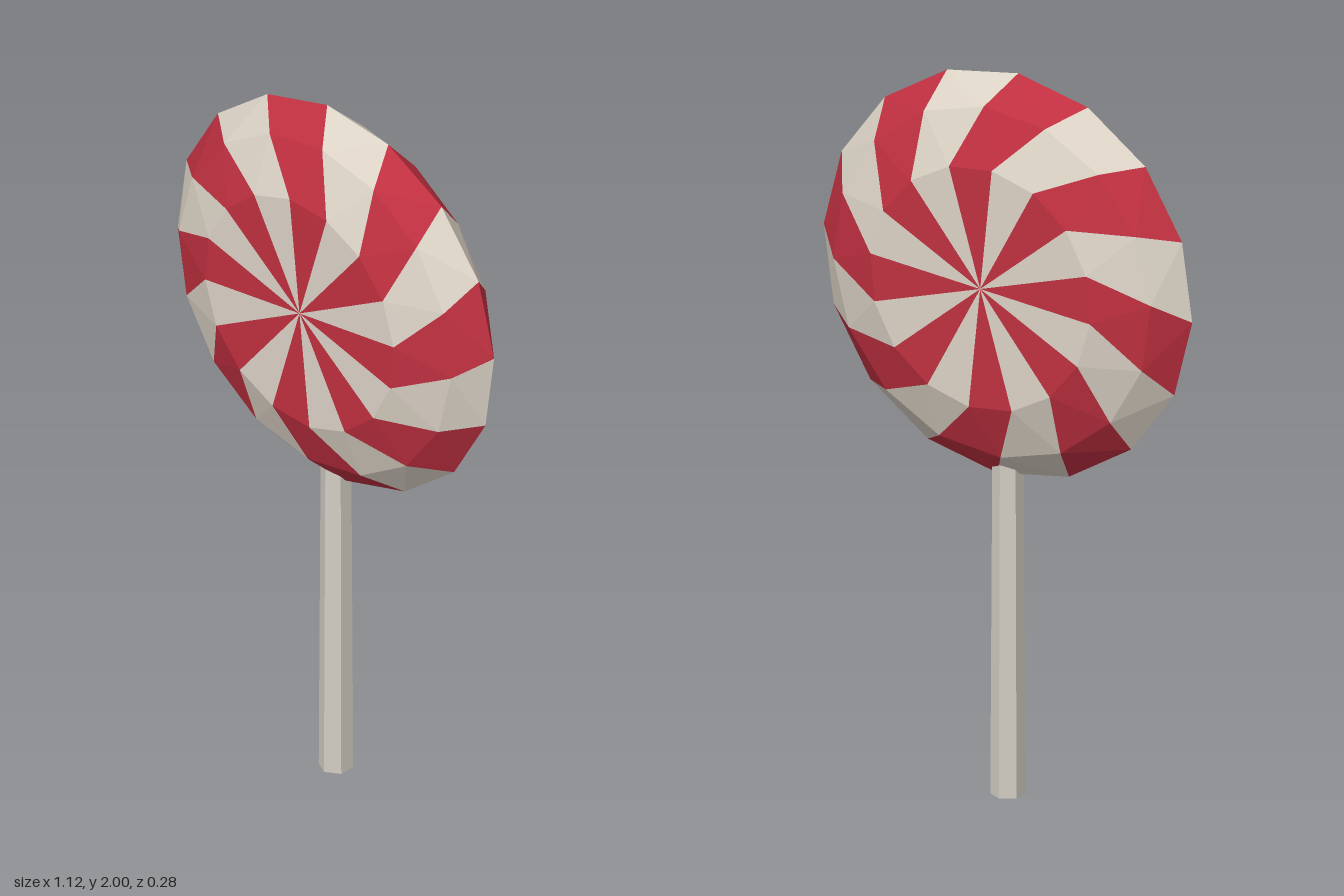
import * as THREE from 'three';

const SEGMENTS = 16;
const CENTRE_Y = 1.44;
// Rings from hub to rim: radius, half thickness, starting angle in degrees
const RINGS = [
  { r: 0, z: 0.14, a: 96 },
  { r: 0.335, z: 0.14, a: 96 },
  { r: 0.482, z: 0.08, a: 109.5 },
  { r: 0.56, z: 0, a: 115.7 },
];

function ringPoint(ring, i, side) {
  const { r, z, a } = RINGS[ring];
  const t = THREE.MathUtils.degToRad(a - (i * 360) / SEGMENTS);
  return [r * Math.cos(t), r * Math.sin(t), side * z];
}

// Every second swirled wedge, on both faces of the disc
function stripeGeometry(first) {
  const positions = [];
  for (const side of [1, -1]) {
    const tri = (a, b, c) => positions.push(...a, ...(side > 0 ? [...b, ...c] : [...c, ...b]));
    for (let i = first; i < SEGMENTS; i += 2) {
      for (let k = 0; k < RINGS.length - 1; k++) {
        const innerA = ringPoint(k, i, side);
        const innerB = ringPoint(k, i + 1, side);
        const outerA = ringPoint(k + 1, i, side);
        const outerB = ringPoint(k + 1, i + 1, side);
        tri(innerA, outerB, outerA);
        if (k > 0) tri(innerA, innerB, outerB);
      }
    }
  }
  const geometry = new THREE.BufferGeometry();
  geometry.setAttribute('position', new THREE.Float32BufferAttribute(positions, 3));
  geometry.computeVertexNormals();
  return geometry;
}

function addMesh(parent, name, geometry, color) {
  const mesh = new THREE.Mesh(geometry, new THREE.MeshStandardMaterial({ color, flatShading: true }));
  mesh.name = name;
  parent.add(mesh);
  return mesh;
}

export function createModel() {
  const model = new THREE.Group();
  model.name = 'lollipop';

  // Swirled candy disc
  const candy = new THREE.Group();
  candy.name = 'candy';
  candy.position.y = CENTRE_Y;
  addMesh(candy, 'redStripes', stripeGeometry(0), 0xc03040);
  addMesh(candy, 'creamStripes', stripeGeometry(1), 0xdcd3c6);
  model.add(candy);

  // Six-sided stick, ending inside the candy
  const height = 1.1;
  const stick = addMesh(model, 'stick', new THREE.CylinderGeometry(0.04, 0.046, height, 6), 0xd2cec4);
  stick.position.y = height / 2;

  return model;
}
